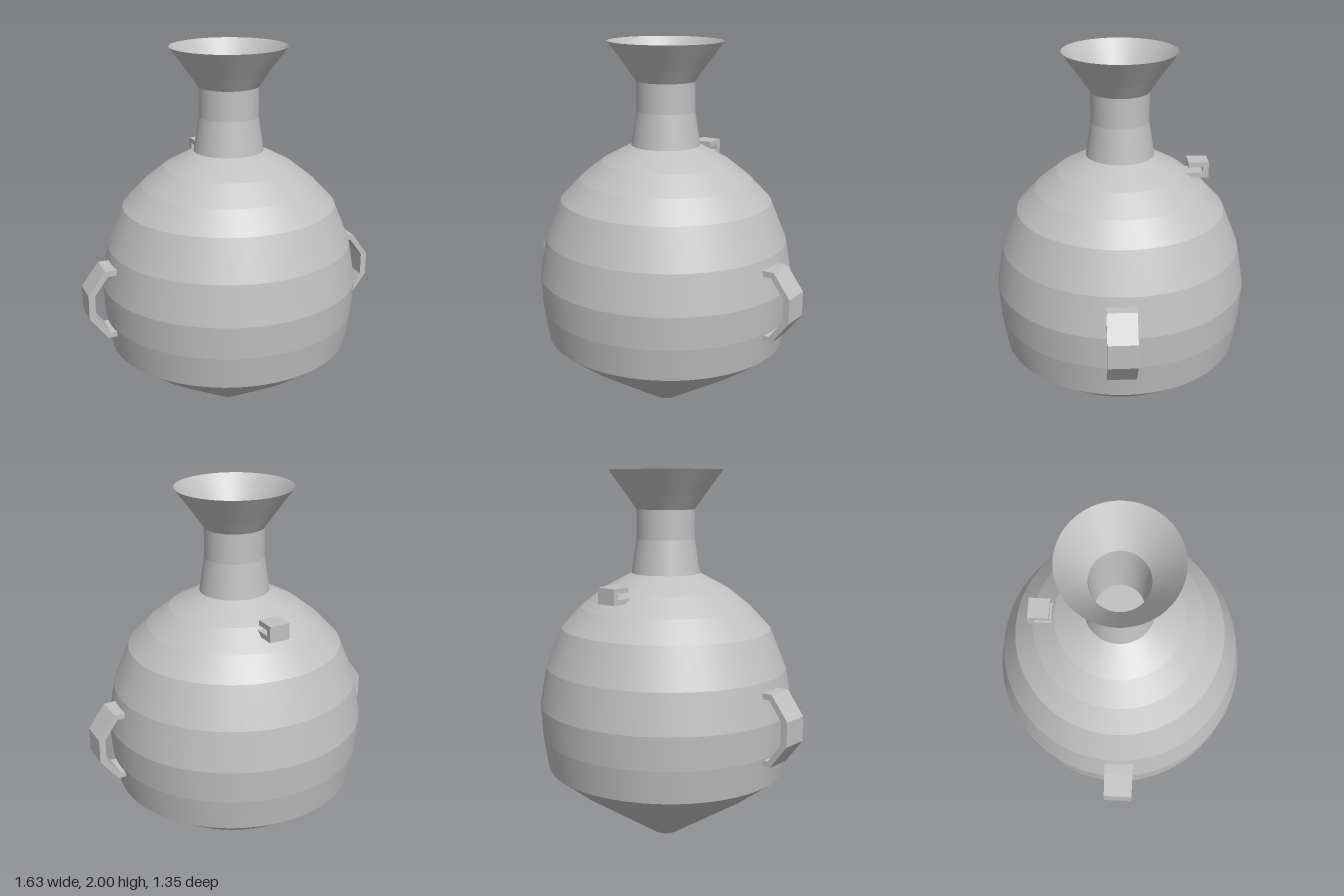
import * as THREE from 'three';
import { mergeGeometries } from 'three/addons/utils/BufferGeometryUtils.js';

const clay = new THREE.MeshStandardMaterial({ color: 0xc0c0c0 });
clay.name = 'grey clay';

// Turned surface: smooth around, creased at every ring, slightly oval in plan
function turned(name, profile) {
  const bands = [];
  for (let i = 0; i < profile.length - 1; i++) {
    const pair = [profile[i], profile[i + 1]].map(([r, y]) => new THREE.Vector2(r, y));
    bands.push(new THREE.LatheGeometry(pair, 64));
  }
  const geometry = mergeGeometries(bands);
  geometry.scale(1, 1, 0.968);
  const mesh = new THREE.Mesh(geometry, clay);
  mesh.name = name;
  return mesh;
}

// Flat outline extruded to a given width, starting at z = 0
function bar(name, outline, width) {
  const shape = new THREE.Shape(outline.map(([x, y]) => new THREE.Vector2(x, y)));
  const mesh = new THREE.Mesh(
    new THREE.ExtrudeGeometry(shape, { depth: width, bevelEnabled: false }), clay);
  mesh.name = name;
  return mesh;
}

export function createModel() {
  const vase = new THREE.Group();
  vase.name = 'vase';

  // Pointed base, rounded belly and shoulder
  vase.add(turned('base', [[0, 0], [0.07, 0], [0.5, 0.28], [0.657, 0.4]]));
  vase.add(turned('belly', [
    [0.657, 0.4], [0.685, 0.575], [0.695, 0.75], [0.657, 0.96],
    [0.57, 1.17], [0.465, 1.28], [0.345, 1.375], [0.185, 1.46],
  ]));

  // Neck and flared mouth, then the inside of both
  vase.add(turned('neck', [[0.185, 1.46], [0.157, 1.64], [0.157, 1.795]]));
  vase.add(turned('mouth', [[0.157, 1.795], [0.206, 1.865], [0.306, 2]]));
  vase.add(turned('mouthInside', [[0.306, 2], [0.154, 1.8]]));
  vase.add(turned('neckInside', [[0.154, 1.8], [0.13, 1.46], [0, 1.46]]));

  // Angular handles on both sides
  const handleOutline = [
    [0.64, 0.912], [0.72, 0.912], [0.813, 0.788], [0.813, 0.66], [0.72, 0.536], [0.66, 0.536],
    [0.66, 0.566], [0.706, 0.566], [0.779, 0.665], [0.779, 0.783], [0.706, 0.882], [0.64, 0.882],
  ];
  for (const [name, side] of [['leftHandle', 1], ['rightHandle', -1]]) {
    const handle = bar(name, handleOutline.map(([x, y]) => [x * side, y]), 0.149);
    handle.position.z = -0.047;
    vase.add(handle);
  }

  // Small hooked lug behind the neck, open towards the body
  const lug = bar('backLug', [
    [0.355, 1.42], [0.463, 1.42], [0.463, 1.336], [0.34, 1.336],
    [0.34, 1.363], [0.434, 1.363], [0.434, 1.392], [0.355, 1.392],
  ], 0.11);
  lug.rotation.y = Math.PI / 2;
  lug.position.x = -0.055;
  vase.add(lug);

  return vase;
}
